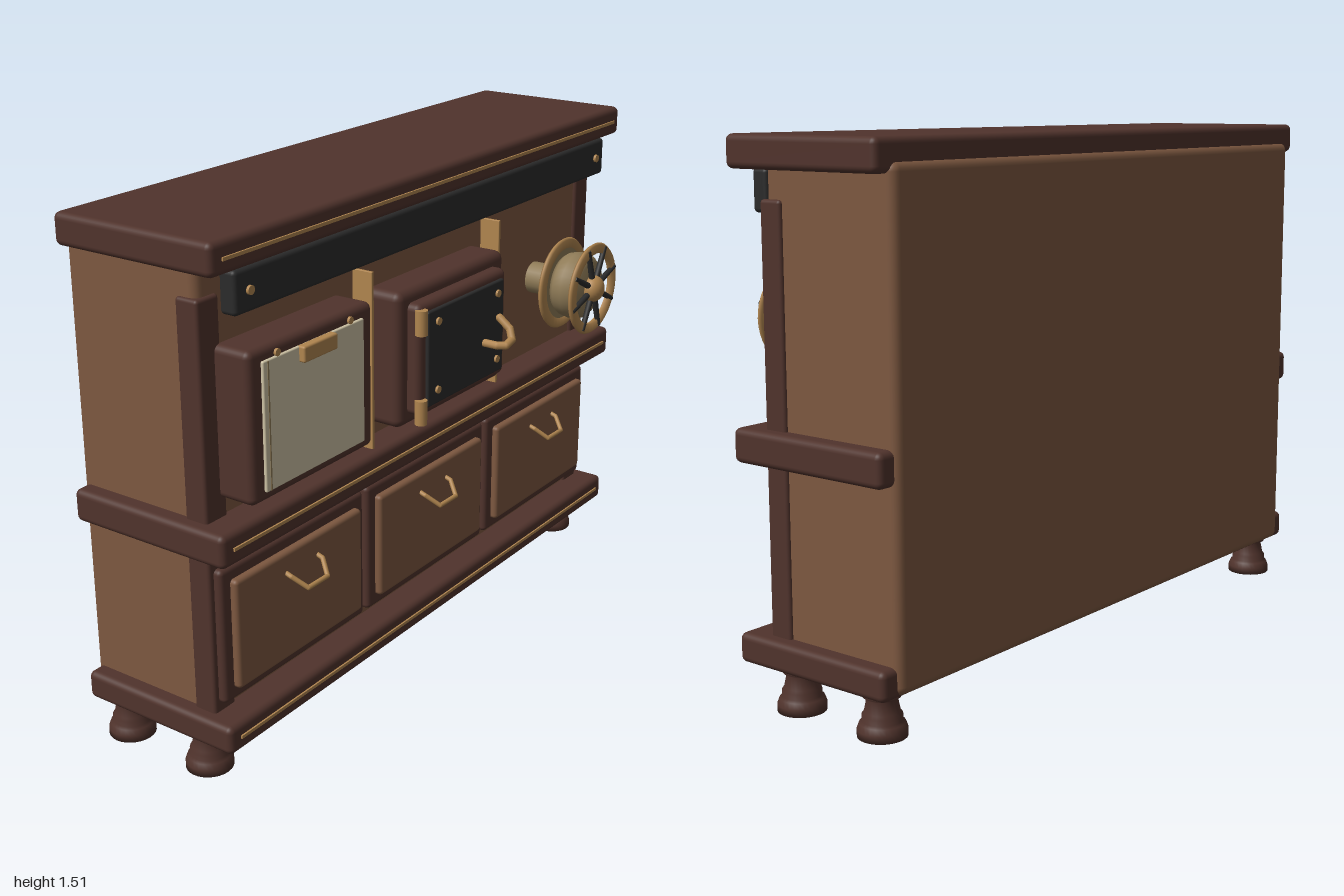
import * as THREE from 'three';
import { RoundedBoxGeometry } from 'three/addons/geometries/RoundedBoxGeometry.js';

const mat = (name, color) => {
  const m = new THREE.MeshStandardMaterial({ color });
  m.name = name;
  return m;
};

export function createModel() {
  const brown = mat('warm brown wood', 0x7d5840);
  const dark = mat('dark brown wood', 0x50332c);
  const black = mat('black iron', 0x2b2b2b);
  const brass = mat('brass', 0xb0854f);
  const cream = mat('cream panel', 0xcdc2a4);
  const olive = mat('aged brass', 0x8f7b57);

  const root = new THREE.Group();
  root.name = 'cabinet';

  const add = (name, geo, material, x = 0, y = 0, z = 0, parent = root) => {
    const m = new THREE.Mesh(geo, material);
    m.name = name;
    m.position.set(x, y, z);
    parent.add(m);
    return m;
  };
  // Rounded box given by its extents
  const block = (name, material, [x0, x1], [y0, y1], [z0, z1], r = 0.01, parent = root) =>
    add(name, new RoundedBoxGeometry(x1 - x0, y1 - y0, z1 - z0, 3, r), material,
      (x0 + x1) / 2, (y0 + y1) / 2, (z0 + z1) / 2, parent);
  // Short cylinder facing the front
  const disc = (name, material, x, y, z, r, depth, parent = root) =>
    add(name, new THREE.CylinderGeometry(r, r, depth, 20).rotateX(Math.PI / 2), material, x, y, z, parent);
  // Round bar through a list of points
  const bar = (name, pts, r, parent) => {
    const path = new THREE.CurvePath();
    const v = pts.map(p => new THREE.Vector3(...p));
    for (let i = 1; i < v.length; i++) {
      path.add(new THREE.LineCurve3(v[i - 1], v[i]));
      add(name + 'Joint', new THREE.SphereGeometry(r, 10, 8), brass, v[i].x, v[i].y, v[i].z, parent);
    }
    path.curves.forEach(c => add(name, new THREE.TubeGeometry(c, 1, r, 10), brass, 0, 0, 0, parent));
  };

  // Carcass and its three ledges with brass inlay lines
  block('body', brown, [-0.952, 0.952], [0.125, 1.45], [-0.345, 0.092], 0.025);
  for (const [name, y0, y1, line] of [['topSlab', 1.42, 1.508, 1.463],
    ['middleShelf', 0.662, 0.755, 0.71], ['basePlinth', 0.12, 0.202, 0.163]]) {
    block(name, dark, [-1, 1], [y0, y1], [-0.332, 0.186], 0.018);
    add(name + 'Inlay', new THREE.BoxGeometry(1.92, 0.009, 0.008), brass, 0, line, 0.187);
  }

  // Corner posts and turned feet
  const footProfile = [[0, 0], [0.066, 0], [0.066, 0.02], [0.06, 0.036], [0.053, 0.042], [0.053, 0.058],
    [0.047, 0.066], [0.04, 0.1], [0.05, 0.106], [0.05, 0.125], [0, 0.125]]
    .map(p => new THREE.Vector2(...p));
  for (const s of [-1, 1]) {
    block('cornerPost', dark, s > 0 ? [0.88, 0.962] : [-0.962, -0.88], [0.105, 1.345], [0.03, 0.102], 0.01);
    for (const z of [0.035, -0.253]) add('foot', new THREE.LatheGeometry(footProfile, 28), dark, s * 0.92, 0, z);
    block('divider', brass, [s * 0.323 - 0.005, s * 0.323 + 0.005], [0.75, 1.27], [0.09, 0.157], 0.002);
  }

  // Black rail under the top
  block('rail', black, [-0.913, 0.91], [1.305, 1.42], [0.13, 0.182], 0.012);
  for (const x of [-0.86, 0.855]) disc('railBolt', brass, x, 1.363, 0.184, 0.012, 0.012);

  // Drawers with bent pull handles
  for (const x of [-0.637, -0.003, 0.632]) {
    const drawer = new THREE.Group();
    drawer.name = 'drawer';
    drawer.position.x = x;
    root.add(drawer);
    block('drawerFrame', dark, [-0.308, 0.308], [0.228, 0.62], [0.085, 0.125], 0.014, drawer);
    block('drawerPanel', brown, [-0.272, 0.272], [0.264, 0.584], [0.11, 0.146], 0.012, drawer);
    bar('drawerHandle', [[-0.068, 0.525, 0.14], [-0.068, 0.518, 0.162], [-0.042, 0.485, 0.198],
      [0.042, 0.485, 0.198], [0.068, 0.518, 0.162], [0.068, 0.525, 0.14]], 0.007, drawer);
  }

  // Left compartment with cream panel
  block('panelFrame', dark, [-0.906, -0.396], [0.807, 1.218], [0.085, 0.21], 0.02);
  block('creamPanel', cream, [-0.86, -0.446], [0.836, 1.185], [0.2, 0.218], 0.004);
  add('panelSeam', new THREE.BoxGeometry(0.005, 0.345, 0.003), olive, -0.842, 1.01, 0.218);
  block('panelPull', brass, [-0.72, -0.582], [1.143, 1.187], [0.21, 0.236], 0.006);
  for (const x of [-0.8, -0.5]) disc('panelPin', brass, x, 1.193, 0.211, 0.01, 0.012);

  // Iron door in a stepped frame
  block('doorFrame', dark, [-0.275, 0.267], [0.805, 1.202], [0.085, 0.21], 0.025);
  block('doorStep', dark, [-0.236, 0.216], [0.84, 1.167], [0.18, 0.25], 0.02);
  block('doorPlate', black, [-0.205, 0.187], [0.862, 1.143], [0.235, 0.26], 0.006);
  for (const x of [-0.16, 0.15]) for (const y of [0.905, 1.107])
    disc('doorBolt', brass, x, y, 0.262, 0.011, 0.01);
  for (const y of [0.855, 1.118])
    add('doorHinge', new THREE.CylinderGeometry(0.018, 0.018, 0.072, 16), brass, -0.226, y, 0.25);
  bar('doorLatch', [[0.083, 0.974, 0.255], [0.083, 0.974, 0.305], [0.097, 0.974, 0.325],
    [0.13, 0.983, 0.325], [0.142, 1.01, 0.31], [0.142, 1.037, 0.275]], 0.012, root);

  // Spoked wheel on a bulging drum
  const wheel = new THREE.Group();
  wheel.name = 'wheel';
  wheel.position.set(0.64, 1.005, 0);
  root.add(wheel);
  const ring = [[0.114, -0.008], [0.14, -0.008], [0.146, 0], [0.14, 0.008], [0.114, 0.008], [0.114, -0.008]]
    .map(p => new THREE.Vector2(...p));
  for (const z of [0.202, 0.308])
    add('wheelRim', new THREE.LatheGeometry(ring, 40).rotateX(Math.PI / 2), brass, 0, 0, z, wheel);
  const drum = new THREE.LatheGeometry([[0, 0.195], [0.085, 0.2], [0.1, 0.22], [0.106, 0.25], [0.1, 0.28],
    [0.08, 0.3], [0, 0.303]].map(p => new THREE.Vector2(...p)), 36).rotateX(Math.PI / 2);
  add('wheelDrum', drum, olive, 0, 0, 0, wheel);
  disc('wheelAxle', olive, 0, 0, 0.15, 0.05, 0.14, wheel);
  disc('wheelBackPlate', olive, 0, 0, 0.202, 0.116, 0.008, wheel);
  for (let i = 0; i < 8; i++) {
    const a = (i + 0.4) * Math.PI / 4;
    const spoke = add('wheelSpoke', new THREE.CylinderGeometry(0.008, 0.01, 0.11, 10), black,
      Math.cos(a) * 0.083, Math.sin(a) * 0.083, 0.312, wheel);
    spoke.rotation.z = a - Math.PI / 2;
  }
  const hub = new THREE.SphereGeometry(0.042, 24, 16).scale(1, 1, 0.8);
  add('wheelHub', hub, brass, 0, 0, 0.312, wheel);

  return root;
}
